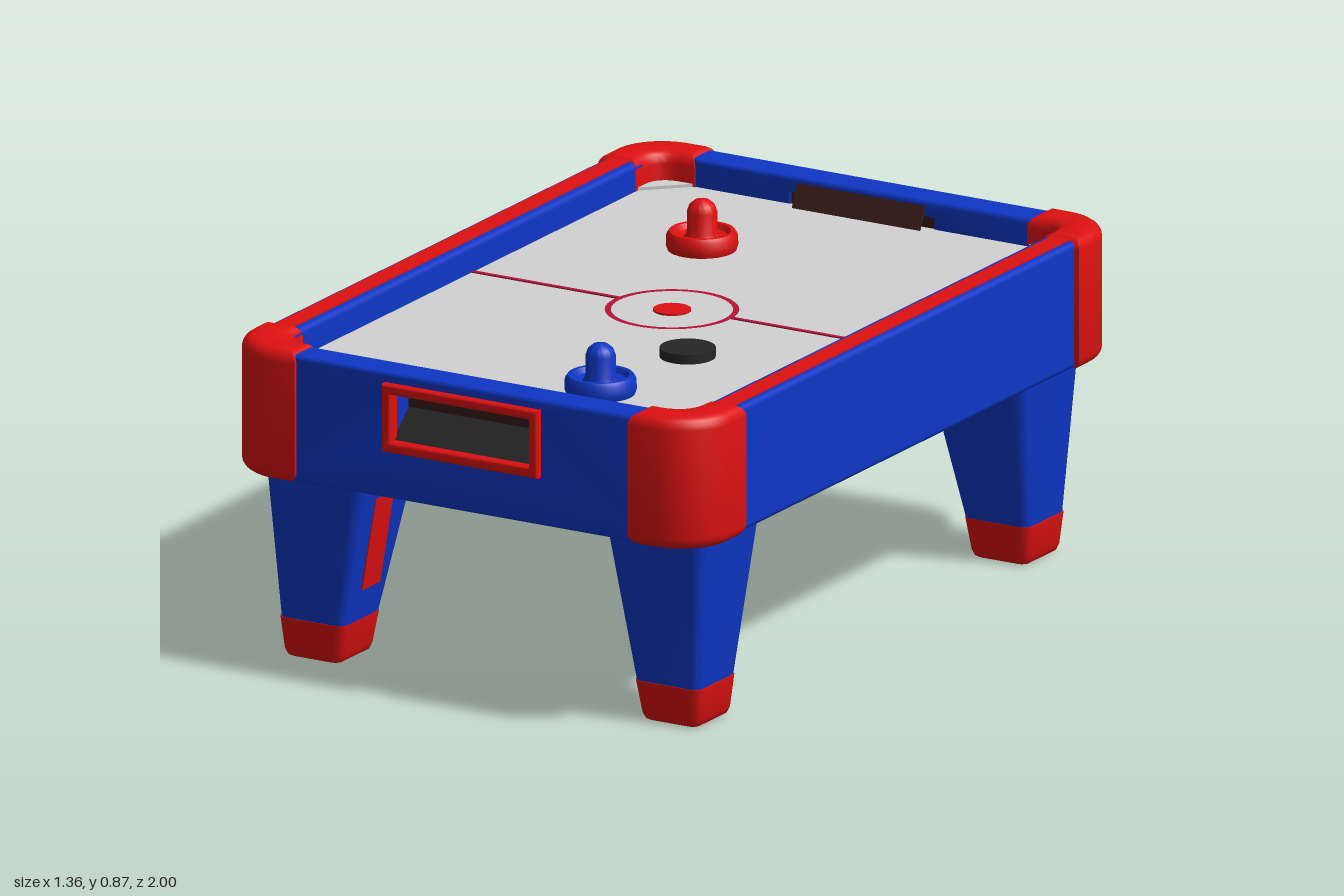
import * as THREE from 'three';
import { toCreasedNormals } from 'three/addons/utils/BufferGeometryUtils.js';
import { RoundedBoxGeometry } from 'three/addons/geometries/RoundedBoxGeometry.js';

const material = (name, color, side = THREE.FrontSide) => {
  const m = new THREE.MeshStandardMaterial({ color, side });
  m.name = name;
  return m;
};

export function createModel() {
  const table = new THREE.Group();
  table.name = 'airHockeyTable';
  const blue = material('blue', 0x0e36c4);
  const red = material('red', 0xdd1111);
  const white = material('playfieldWhite', 0xd2d2d2);
  const line = material('lineCrimson', 0xb81238);
  const black = material('black', 0x262626);
  const brown = material('slotBrown', 0x3a1c1a);

  const add = (name, geometry, mat, x = 0, y = 0, z = 0, parent = table) => {
    const mesh = new THREE.Mesh(geometry, mat);
    mesh.name = name;
    mesh.position.set(x, y, z);
    parent.add(mesh);
    return mesh;
  };
  const box = (w, h, d) => new THREE.BoxGeometry(w, h, d);
  const SURFACE = 0.74;

  const rectangle = (path, x0, y0, x1, y1) => {
    path.moveTo(x0, y0);
    path.lineTo(x1, y0);
    path.lineTo(x1, y1);
    path.lineTo(x0, y1);
    path.closePath();
    return path;
  };

  // Solid with softened edges, extruded along z and centred on it
  const extrude = (shape, depth, bevel) => {
    const g = new THREE.ExtrudeGeometry(shape, {
      depth: depth - 2 * bevel, bevelEnabled: true, bevelSize: bevel, bevelOffset: -bevel,
      bevelThickness: bevel, bevelSegments: 4, curveSegments: 10,
    });
    g.translate(0, 0, bevel - depth / 2);
    return toCreasedNormals(g, 0.7);
  };

  // Tapered post through rounded rectangles [y, xCentre, zCentre, halfX, halfZ, radius]
  const loft = (sections) => {
    const positions = [], index = [], n = 16;
    for (const [y, cx, cz, hx, hz, r] of sections) {
      for (let i = 0; i < n; i++) {
        const q = Math.floor(i / 4), a = (q + (i % 4) / 3) * Math.PI / 2;
        const sx = q === 0 || q === 3 ? 1 : -1, sz = q < 2 ? 1 : -1;
        positions.push(cx + sx * (hx - r) + r * Math.cos(a), y, cz + sz * (hz - r) + r * Math.sin(a));
      }
    }
    for (let k = 0; k < sections.length - 1; k++) {
      for (let i = 0; i < n; i++) {
        const a = k * n + i, b = k * n + (i + 1) % n;
        index.push(a, a + n, b, b, a + n, b + n);
      }
    }
    const top = (sections.length - 1) * n;
    for (let i = 1; i < n - 1; i++) index.push(0, i, i + 1, top, top + i + 1, top + i);
    const g = new THREE.BufferGeometry();
    g.setAttribute('position', new THREE.Float32BufferAttribute(positions, 3));
    g.setIndex(index);
    return toCreasedNormals(g, 0.7);
  };

  // Underside and playing surface
  add('underside', box(1.26, 0.11, 1.88), blue, 0, 0.546, 0);
  add('playfield', box(1.2, 0.04, 1.79), white, 0, SURFACE - 0.02, 0);

  // Long side rails with a stripe along the top
  for (const s of [-1, 1]) {
    add('sideRail', new RoundedBoxGeometry(0.092, 0.32, 1.66, 3, 0.015), blue, s * 0.62, 0.65, 0);
    add('sideRailStripe', box(0.052, 0.006, 1.6), red, s * 0.622, 0.81, 0);
  }

  // End rails with goal window, frame, return pocket and inner slot
  const panel = rectangle(new THREE.Shape(), -0.56, 0.49, 0.56, 0.81);
  panel.holes.push(rectangle(new THREE.Path(), -0.2, 0.635, 0.2, 0.765));
  const panelGeometry = extrude(panel, 0.09, 0.012);
  const frame = rectangle(new THREE.Shape(), -0.22, 0.613, 0.22, 0.785);
  frame.holes.push(rectangle(new THREE.Path(), -0.195, 0.64, 0.195, 0.76));
  const frameGeometry = extrude(frame, 0.04, 0.007);
  for (const s of [-1, 1]) {
    const end = new THREE.Group();
    end.name = s > 0 ? 'frontEnd' : 'backEnd';
    end.rotation.y = s > 0 ? 0 : Math.PI;
    table.add(end);
    add('endRail', panelGeometry, blue, 0, 0, 0.935, end);
    add('goalFrame', frameGeometry, red, 0, 0, 0.98, end);
    add('goalPocketBack', box(0.42, 0.15, 0.008), brown, 0, 0.7, 0.9, end);
    const ramp = add('goalPocketRamp', box(0.41, 0.008, 0.1), black, 0, 0.67, 0.936, end);
    ramp.rotation.x = 0.75;
    const slot = add('goalSlot', box(0.36, 0.062, 0.006), brown, 0, 0.768, 0.876, end);
    slot.rotation.x = 0.42;
  }

  // Rounded corner guards wrapping the rail joints
  const corner = (sx, sz) => {
    const p = (x, z) => [sx * x, -sz * z];
    const s = new THREE.Shape();
    s.moveTo(...p(0.47, 0.99));
    s.lineTo(...p(0.54, 0.99));
    s.bezierCurveTo(...p(0.617, 0.99), ...p(0.68, 0.927), ...p(0.68, 0.85));
    s.lineTo(...p(0.68, 0.78));
    s.lineTo(...p(0.573, 0.78));
    s.lineTo(...p(0.573, 0.82));
    s.quadraticCurveTo(...p(0.573, 0.885), ...p(0.51, 0.885));
    s.lineTo(...p(0.47, 0.885));
    s.closePath();
    return extrude(s, 0.335, 0.03).rotateX(-Math.PI / 2);
  };
  const gusset = (sx, sz) => {
    const s = new THREE.Shape();
    s.moveTo(sx * 0.47, -sz * 0.89);
    s.lineTo(sx * 0.575, -sz * 0.89);
    s.lineTo(sx * 0.575, -sz * 0.79);
    s.closePath();
    return new THREE.ExtrudeGeometry(s, { depth: 0.012, bevelEnabled: false }).rotateX(-Math.PI / 2);
  };

  for (const sx of [-1, 1]) {
    for (const sz of [-1, 1]) {
      add('cornerGuard', corner(sx, sz), red, 0, 0.6525, 0);
      add('cornerGusset', gusset(sx, sz), white, 0, SURFACE - 0.004, 0);

      // Tapered leg, foot and inner panel
      add('leg', loft([
        [0.09, sx * 0.502, sz * 0.772, 0.09, 0.088, 0.02],
        [0.5, sx * 0.48, sz * 0.747, 0.141, 0.145, 0.03],
      ]), blue);
      add('foot', loft([
        [0, sx * 0.505, sz * 0.772, 0.07, 0.073, 0.018],
        [0.004, sx * 0.505, sz * 0.772, 0.077, 0.08, 0.022],
        [0.018, sx * 0.505, sz * 0.772, 0.083, 0.085, 0.024],
        [0.1, sx * 0.502, sz * 0.772, 0.094, 0.091, 0.022],
      ]), red);
      const plate = add('legInnerPanel', box(0.006, 0.24, 0.085), red, sx * 0.375, 0.3, sz * 0.76);
      plate.rotation.z = sx * 0.166;
    }
  }

  // Playfield markings
  const flat = (g) => g.rotateX(-Math.PI / 2);
  for (const s of [-1, 1]) add('centreLine', box(0.415, 0.004, 0.012), line, s * 0.367, SURFACE + 0.001, 0.0 - 0.018);
  add('centreCircle', flat(new THREE.RingGeometry(0.148, 0.163, 48)), line, 0, SURFACE + 0.003, 0);
  add('centreSpot', new THREE.CylinderGeometry(0.046, 0.046, 0.006, 32), red, 0, SURFACE + 0.002, 0);

  // Puck and two mallets
  add('puck', new THREE.CylinderGeometry(0.068, 0.068, 0.024, 32), black, 0.225, SURFACE + 0.012, 0.3);
  const profile = [
    [0.084, 0], [0.088, 0.012], [0.087, 0.036], [0.08, 0.047], [0.07, 0.047], [0.062, 0.034],
    [0.044, 0.03], [0.037, 0.042], [0.037, 0.095], [0.031, 0.112], [0.018, 0.123], [0, 0.127],
  ].map(([r, y]) => new THREE.Vector2(r, y));
  const mallet = toCreasedNormals(new THREE.LatheGeometry(profile, 32), 0.7);
  add('frontMallet', mallet, blue, 0.197, SURFACE, 0.662);
  add('backMallet', mallet, red, -0.197, SURFACE, -0.468);

  return table;
}
